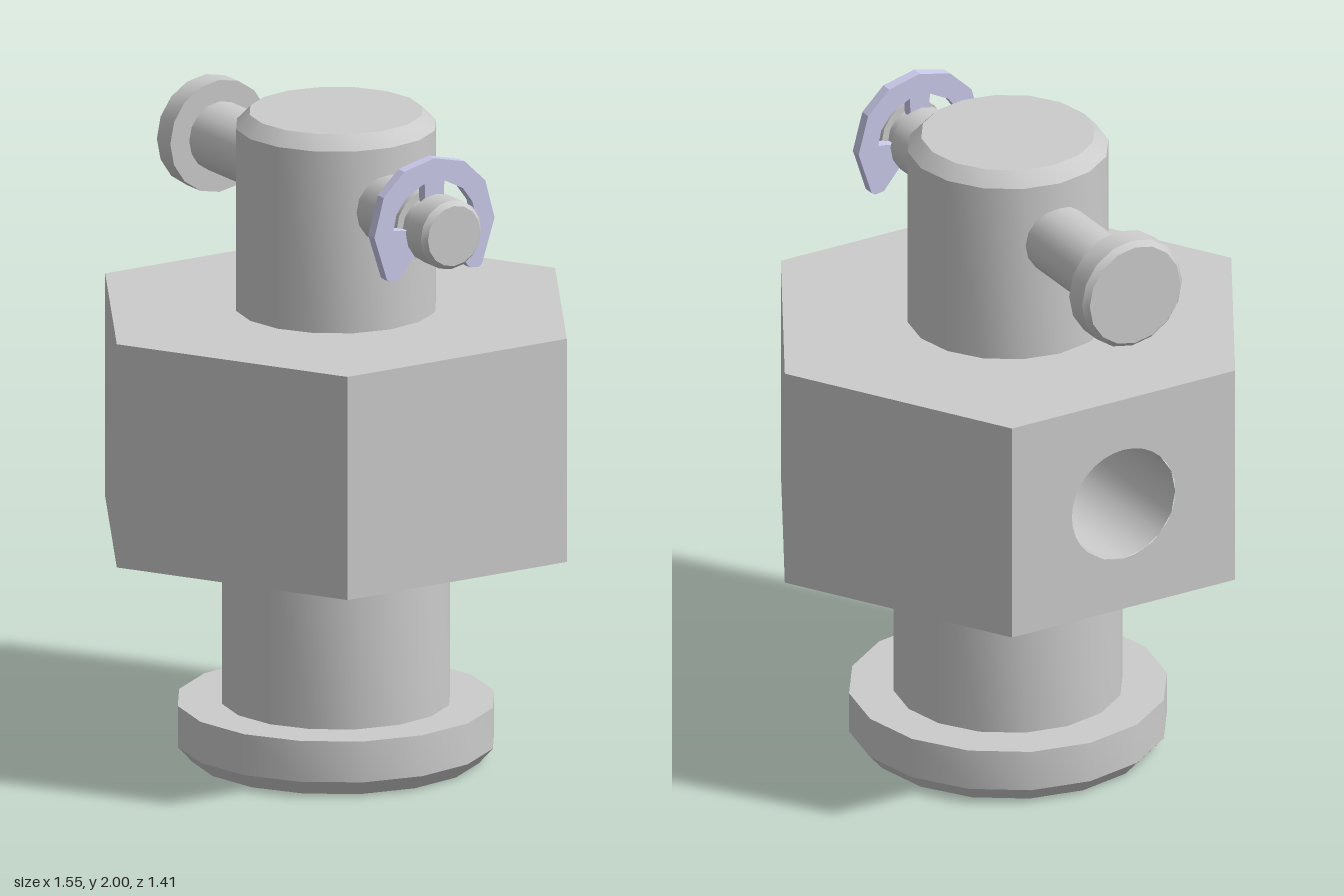
import * as THREE from 'three';
import { toCreasedNormals } from 'three/addons/utils/BufferGeometryUtils.js';

const SIDES = 16;
const AXIS_Z = 0.03; // z of the vertical axis
const HEX_R = 0.777, HEX_BOTTOM = 0.7, HEX_TOP = 1.393;
const PORT_R = 0.18, BORE_R = 0.22, PIN_Y = 1.767;

const grey = new THREE.MeshStandardMaterial({ color: 0xcccccc });
const lavender = new THREE.MeshStandardMaterial({ color: 0xcacaeb });

function mesh(name, geometry, material = grey) {
  const m = new THREE.Mesh(geometry, material);
  m.name = name;
  return m;
}

// Turned part from [radius, height] pairs, smooth around and sharp at edges
function turned(points) {
  const profile = points.map(([r, y]) => new THREE.Vector2(r, y));
  return toCreasedNormals(new THREE.LatheGeometry(profile, SIDES), 0.6);
}

// Hexagonal block with a round port in its back face
function createBody() {
  const body = new THREE.Group();
  body.name = 'hexBody';
  const h = HEX_TOP - HEX_BOTTOM, w = HEX_R / 2, mid = (HEX_TOP + HEX_BOTTOM) / 2;
  const apothem = HEX_R * Math.cos(Math.PI / 6);
  for (let i = 0; i < 6; i++) {
    const face = new THREE.Shape([
      new THREE.Vector2(-w, -h / 2), new THREE.Vector2(w, -h / 2),
      new THREE.Vector2(w, h / 2), new THREE.Vector2(-w, h / 2),
    ]);
    if (i === 3) face.holes.push(new THREE.Path().absarc(0, 0, PORT_R, 0, Math.PI * 2, true));
    const g = new THREE.ShapeGeometry(face, SIDES);
    g.translate(0, 0, apothem).rotateY(i * Math.PI / 3).translate(0, mid, 0);
    body.add(mesh('hexSide', g));
  }
  // End faces, open in the middle where the stems pass
  for (const [name, y, turn] of [['hexTop', HEX_TOP, -1], ['hexBottom', HEX_BOTTOM, 1]]) {
    const g = new THREE.RingGeometry(0.27, HEX_R, 6);
    body.add(mesh(name, g.rotateX(turn * Math.PI / 2).translate(0, y, 0)));
  }
  // Blind port wall and floor
  const port = turned([[PORT_R, apothem], [PORT_R, -0.2], [0, -0.2]]);
  body.add(mesh('backPort', port.rotateX(-Math.PI / 2).translate(0, mid, 0)));
  return body;
}

// Retaining clip: half outline, mirrored, with two relief windows and an open bottom
function createClip() {
  const outer = [[0, 0.216], [0.107, 0.19], [0.18, 0.12], [0.213, 0.0], [0.168, -0.138], [0.155, -0.146], [0.125, -0.142]];
  const inner = [[0.06, -0.065], [0.08, -0.03], [0.085, 0.0], [0.112, 0.008], [0.145, 0.012],
    [0.135, 0.06], [0.1, 0.108], [0.035, 0.142], [0.032, 0.08]];
  const half = [...outer, ...inner];
  const mirrored = half.slice(1).reverse().map(([x, y]) => [-x, y]);
  const shape = new THREE.Shape([...half, ...mirrored].map(([x, y]) => new THREE.Vector2(x, y)));
  const g = new THREE.ExtrudeGeometry(shape, { depth: 0.034, bevelEnabled: false });
  return mesh('retainingClip', g.translate(0, PIN_Y, 0.543), lavender);
}

export function createModel() {
  const model = new THREE.Group();
  model.name = 'fitting';

  const column = new THREE.Group();
  column.name = 'column';
  column.position.z = AXIS_Z;
  column.add(createBody());

  // Lower stem with chamfered flange and bore from below
  column.add(mesh('lowerStem', turned([
    [0, 0.85], [BORE_R, 0.85], [BORE_R, 0], [0.437, 0], [0.48, 0.048],
    [0.48, 0.175], [0.346, 0.175], [0.346, 0.72],
  ])));

  // Upper stem with chamfered top
  column.add(mesh('upperStem', turned([
    [0.303, HEX_TOP - 0.02], [0.303, 1.957], [0.262, 2], [0, 2],
  ])));
  model.add(column);

  // Cross pin: head at the back, clip groove and chamfer at the front
  const pin = turned([
    [0, -0.71], [0.158, -0.71], [0.174, -0.692], [0.174, -0.617], [0.107, -0.617],
    [0.107, 0.535], [0.085, 0.535], [0.085, 0.585], [0.107, 0.585],
    [0.107, 0.668], [0.093, 0.686], [0, 0.686],
  ]);
  model.add(mesh('crossPin', pin.rotateX(Math.PI / 2).translate(0, PIN_Y, 0)));
  model.add(createClip());
  return model;
}
